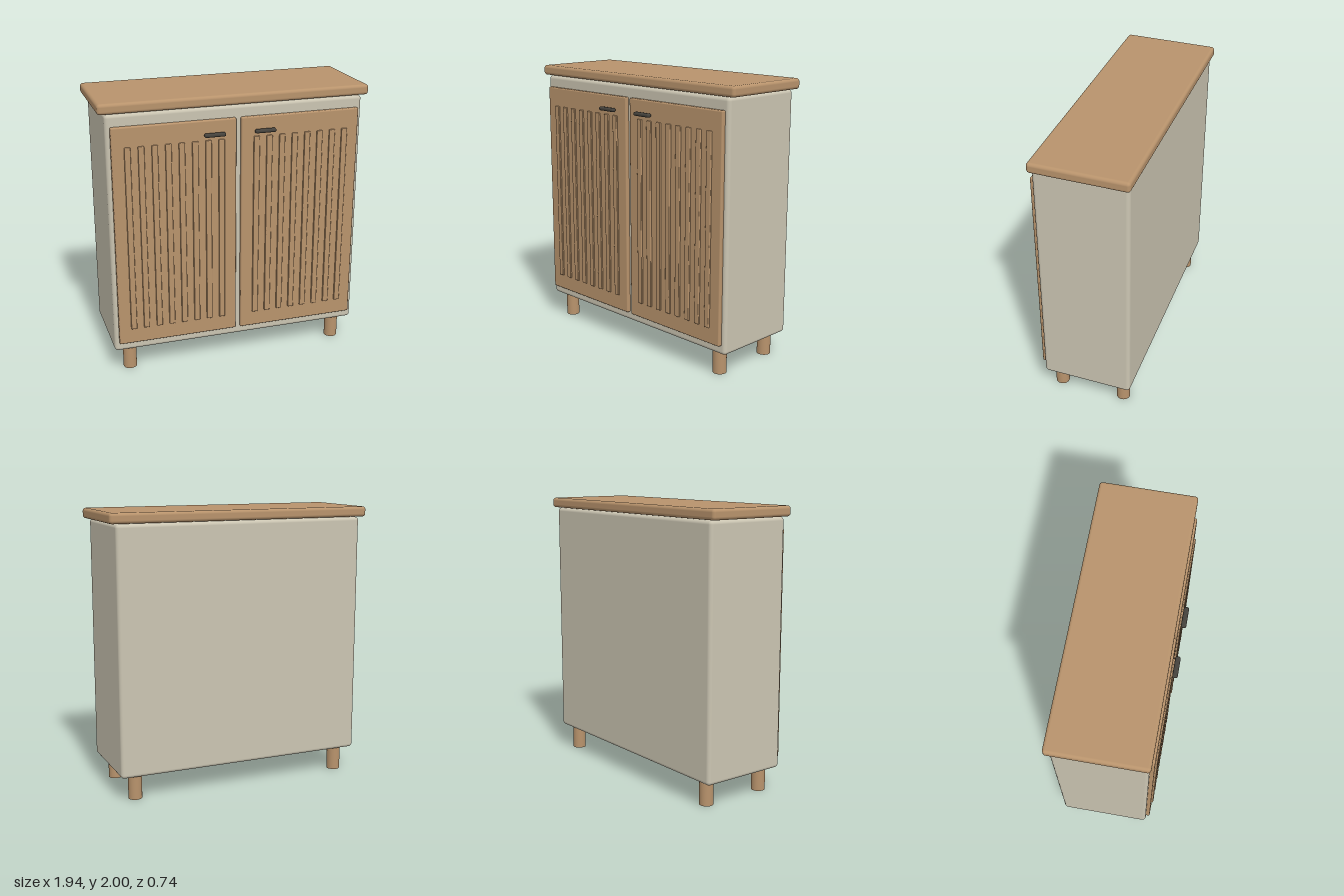
import * as THREE from 'three';
import { RoundedBoxGeometry } from 'three/addons/geometries/RoundedBoxGeometry.js';

export function createModel() {
  const model = new THREE.Group();
  model.name = 'cabinet';

  const material = (name, color) => {
    const m = new THREE.MeshStandardMaterial({ color });
    m.name = name;
    return m;
  };
  const wood = material('wood', 0xb8936c);
  const cream = material('creamPaint', 0xcbc5b2);
  const metal = material('darkMetal', 0x45423c);

  const add = (parent, name, geometry, mat, x, y, z) => {
    const mesh = new THREE.Mesh(geometry, mat);
    mesh.name = name;
    mesh.position.set(x, y, z);
    parent.add(mesh);
  };
  const rounded = (w, h, d, r) => new RoundedBoxGeometry(w, h, d, 4, r);

  // Carcass and worktop
  add(model, 'body', rounded(1.842, 1.75, 0.648, 0.026), cream, 0, 1.05, -0.026);
  add(model, 'worktop', rounded(1.936, 0.073, 0.68, 0.022), wood, 0, 1.9635, -0.028);

  // Mirrored doors, each with eight raised slats and a pull
  const panel = rounded(0.871, 1.6, 0.036, 0.01);
  const slat = rounded(0.043, 1.347, 0.024, 0.006);
  const pull = rounded(0.151, 0.027, 0.036, 0.0125);
  for (const side of [-1, 1]) {
    const door = new THREE.Group();
    door.name = side > 0 ? 'leftDoor' : 'rightDoor';
    model.add(door);
    add(door, 'doorPanel', panel, wood, side * 0.4535, 1.041, 0.308);
    for (let i = 0; i < 8; i++) {
      add(door, 'slat', slat, wood, side * (0.127 + i * 0.0936), 1.029, 0.326);
    }
    add(door, 'handle', pull, metal, side * 0.181, 1.744, 0.355);
  }

  // Four round legs
  const leg = new THREE.CylinderGeometry(0.049, 0.049, 0.19, 24);
  for (const x of [-0.8, 0.8]) {
    for (const z of [0.213, -0.265]) add(model, 'leg', leg, wood, x, 0.095, z);
  }

  return model;
}
